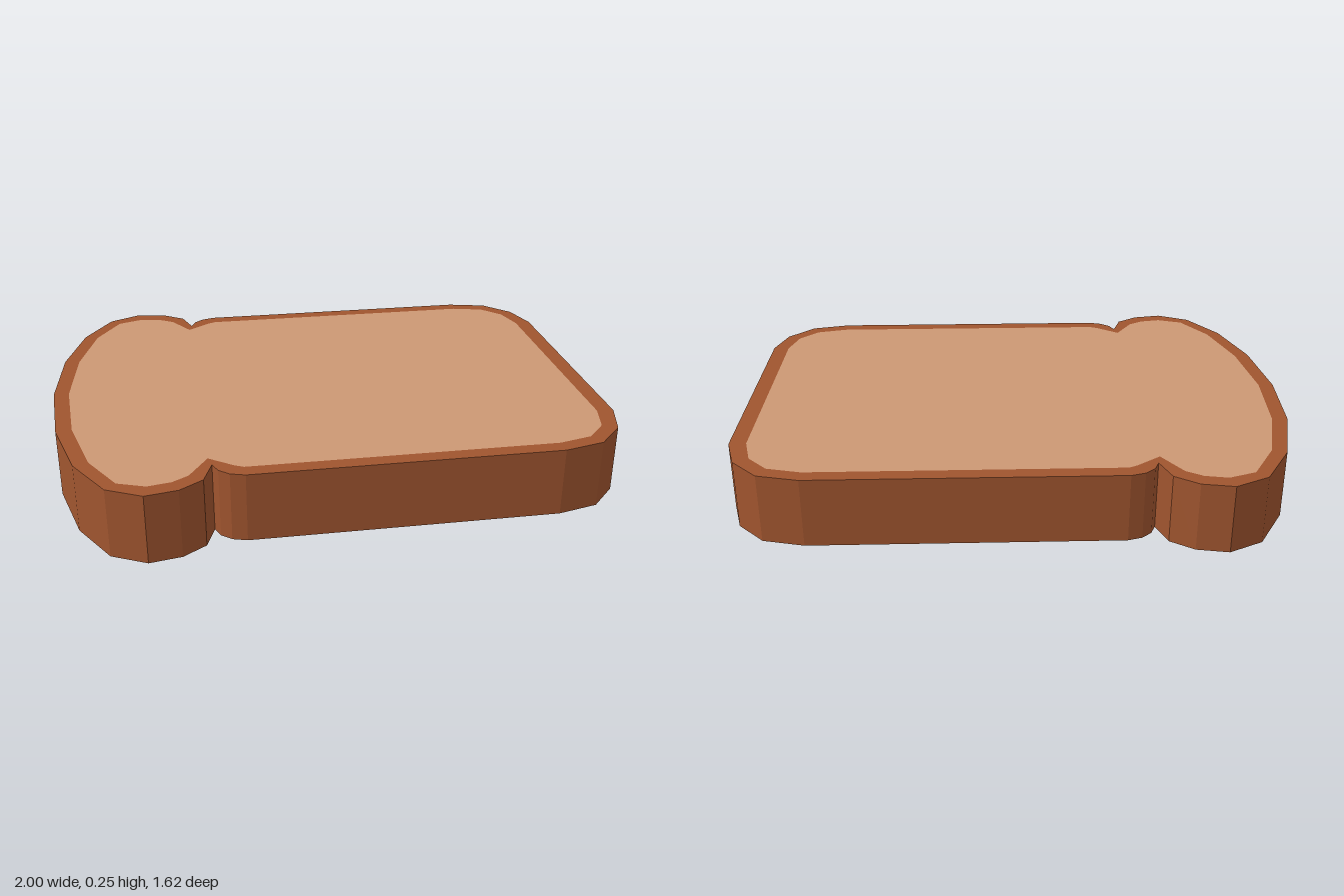
import * as THREE from 'three';

const HEIGHT = 0.245;

// Half outlines from the domed end (-x) to the flat end (+x), as [x, z]
const CRUST = [
  [-1, 0], [-0.975, 0.315], [-0.905, 0.575], [-0.8, 0.75], [-0.68, 0.81],
  [-0.57, 0.79], [-0.49, 0.735], [-0.457, 0.64], [-0.44, 0.68], [-0.405, 0.71],
  [-0.355, 0.725], [0.72, 0.725], [0.865, 0.69], [0.96, 0.59], [1, 0.455],
];
const CRUMB = [
  [-0.945, 0], [-0.92, 0.305], [-0.855, 0.56], [-0.765, 0.715], [-0.67, 0.75],
  [-0.59, 0.735], [-0.535, 0.7], [-0.468, 0.593], [-0.385, 0.655],
  [-0.355, 0.67], [0.72, 0.67], [0.84, 0.64], [0.91, 0.565], [0.94, 0.45],
];

// Mirror a half outline across the long axis into a closed loop
function mirrored(half) {
  const other = half.slice(1).reverse().map(([x, z]) => [x, -z]);
  return [...half, ...other].map(([x, z]) => new THREE.Vector2(x, z));
}

// Extrude a flat outline upwards from the ground
function slab(name, shape, color) {
  const geometry = new THREE.ExtrudeGeometry(shape, { depth: HEIGHT, bevelEnabled: false });
  geometry.rotateX(-Math.PI / 2);
  const mesh = new THREE.Mesh(geometry, new THREE.MeshStandardMaterial({ color }));
  mesh.name = name;
  return mesh;
}

export function createModel() {
  const group = new THREE.Group();
  group.name = 'breadSlice';

  // Crust: a ring around the crumb
  const ring = new THREE.Shape(mirrored(CRUST));
  ring.holes.push(new THREE.Path(mirrored(CRUMB)));
  group.add(slab('crust', ring, 0xa0552f));

  // Crumb: fills the ring, flush with it on both faces
  group.add(slab('crumb', new THREE.Shape(mirrored(CRUMB)), 0xcc9874));

  return group;
}
